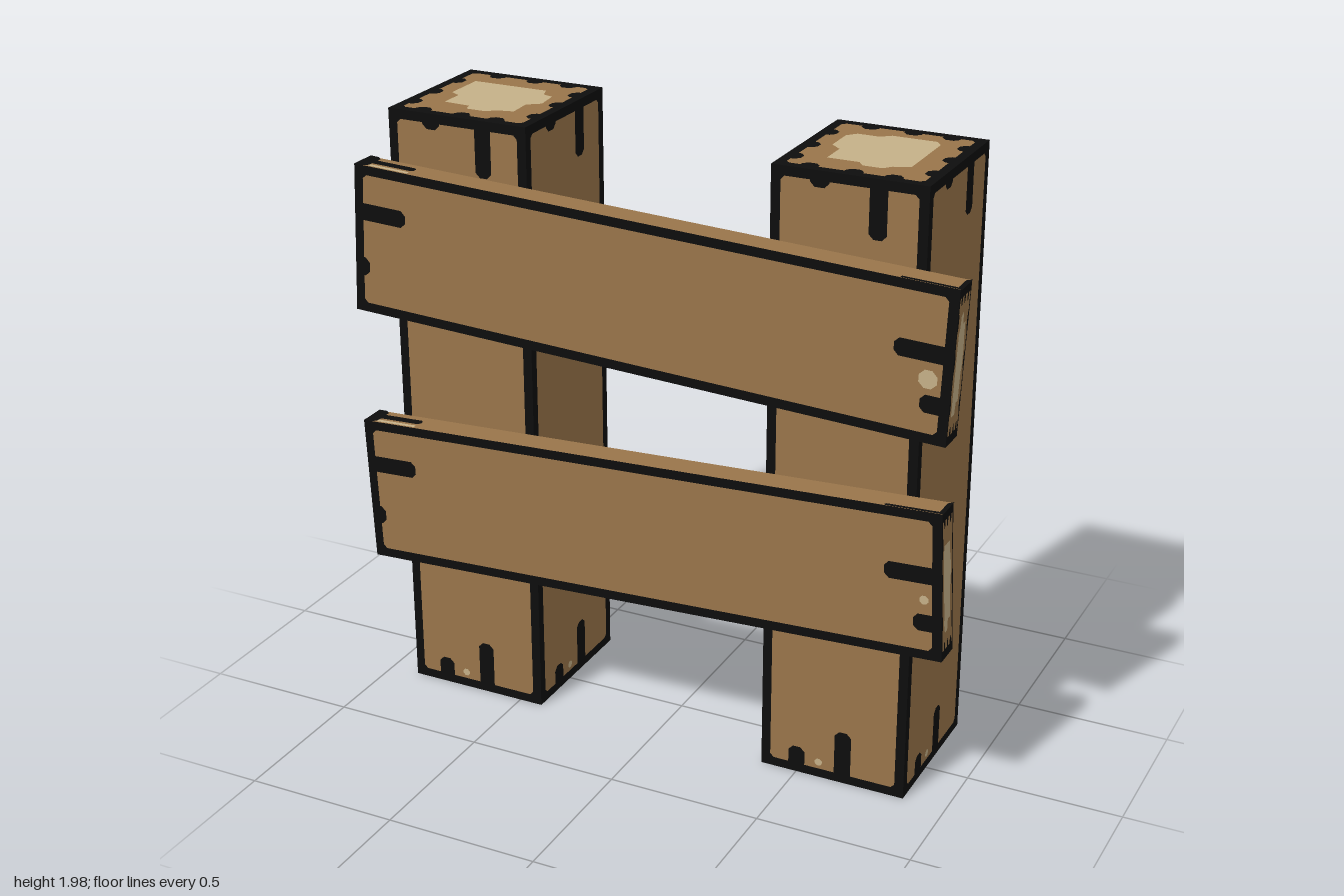
import * as THREE from 'three';

const material = (name, color) => {
  const m = new THREE.MeshStandardMaterial({ color });
  m.name = name;
  return m;
};

const EDGE = 0.03;   // width of the dark outline
const SKIN = 0.002;  // lift of painted details

const shapeOf = pts => new THREE.Shape(pts.map(p => new THREE.Vector2(p[0], p[1])));

// Octagon-cornered rectangle
function cutRect(w, h, c) {
  const x = w / 2, y = h / 2;
  return [[-x + c, -y], [x - c, -y], [x, -y + c], [x, y - c], [x - c, y], [-x + c, y], [-x, y - c], [-x, -y + c]];
}

// Outline around a face
function frame(w, h) {
  const s = shapeOf(cutRect(w, h, 0));
  s.holes.push(shapeOf(cutRect(w - EDGE * 2, h - EDGE * 2, 0.012)));
  return s;
}

// Crack running inward from an edge; turn 0 = bottom, 1 = right, 2 = top, 3 = left
function crack(w, h, turn, pos, width, depth) {
  const x = width / 2, r = Math.min(0.015, x * 0.6);
  const pts = [[-x, 0], [x, 0], [x, depth - r], [x - r, depth], [-x + r, depth], [-x, depth - r]];
  const half = (turn % 2 ? w : h) / 2, c = [1, 0, -1, 0][turn], s = [0, 1, 0, -1][turn];
  const flip = turn === 2 ? -1 : 1; // keeps pos measured along +u on the top edge
  return shapeOf(pts.map(([px, py]) => {
    const a = px + pos * flip, b = py - half;
    return [a * c - b * s, a * s + b * c];
  }));
}

// Wide side: outline with two cracks at each end
const wideSide = (w, h) => [
  frame(w, h),
  crack(w, h, 2, -0.09, 0.06, 0.05), crack(w, h, 2, 0.09, 0.055, 0.18),
  crack(w, h, 0, -0.12, 0.055, 0.09), crack(w, h, 0, 0.035, 0.055, 0.18),
];

// Narrow side of a plank: dark end and thin cracks
const narrowSide = (w, h) => [
  crack(w, h, 2, 0, w, 0.045), crack(w, h, 2, 0, 0.03, 0.19),
  crack(w, h, 0, -0.038, 0.012, 0.18), crack(w, h, 0, 0, w, 0.012),
];

// Sawn end: outline with short cracks all round
function sawnEnd(w) {
  const list = [frame(w, w)];
  for (let turn = 0; turn < 4; turn++)
    for (const p of [-0.135, 0.0, 0.12]) list.push(crack(w, w, turn, p + turn * 0.008, 0.055, 0.055));
  return list;
}

// Pale heartwood patches
const HEART_A = [[-0.155, 0.1], [-0.155, 0.13], [0.1, 0.13], [0.115, 0.09], [0.15, 0.08], [0.16, 0], [0.12, -0.03], [0.125, -0.11],
  [0.08, -0.12], [0.04, -0.145], [-0.02, -0.145], [-0.03, -0.115], [-0.12, -0.11], [-0.12, -0.03], [-0.155, -0.01]];
const HEART_B = [[-0.155, 0.1], [-0.13, 0.13], [-0.06, 0.13], [-0.03, 0.155], [0.11, 0.155], [0.13, 0.13], [0.13, -0.1], [0.08, -0.12],
  [0.06, -0.145], [0, -0.145], [-0.02, -0.12], [-0.12, -0.12], [-0.12, -0.03], [-0.155, 0]];

export function createModel() {
  const wood = material('wood', 0x99754a);
  const dark = material('dark outline', 0x0d0d0d);
  const pale = material('pale heartwood', 0xc5b088);
  const model = new THREE.Group();
  model.name = 'fence';

  // Timber standing along y, centred on its own origin
  function timber(name, w, h, d, heart, knot) {
    const g = new THREE.Group();
    g.name = name;
    const add = (part, geo, mat) => {
      const m = new THREE.Mesh(geo, mat);
      m.name = part;
      g.add(m);
    };
    add('timber', new THREE.BoxGeometry(w - 2 * SKIN, h - 2 * SKIN, d - 2 * SKIN), wood);

    // Four long sides
    for (let k = 0; k < 4; k++) {
      const fw = k % 2 ? d : w, out = (k % 2 ? w : d) / 2;
      const narrow = fw < 0.2;
      const place = (geo, lift = 0) => geo.translate(0, 0, out + lift).rotateY(k * Math.PI / 2);
      add('sideOutline', place(new THREE.ShapeGeometry(narrow ? narrowSide(fw, h) : wideSide(fw, h))), dark);
      const spot = narrow
        ? shapeOf(cutRect(0.014, 0.14, 0.002).map(([x, y]) => [x - 0.034, y + h / 2 - 0.115]))
        : shapeOf(cutRect(knot * 2, knot * 2, knot * 0.6).map(([x, y]) => [x - 0.045, y - h / 2 + 0.04 + knot * 1.1]));
      add('paleSpot', place(new THREE.ShapeGeometry(spot), 0.0005), pale);
    }

    // Two sawn ends
    for (const s of [1, -1]) {
      const place = geo => geo.scale(1, d / w, 1).translate(0, 0, h / 2).rotateX(-s * Math.PI / 2);
      add('endOutline', place(new THREE.ShapeGeometry(sawnEnd(w))), dark);
      add('heartwood', place(new THREE.ShapeGeometry(shapeOf(heart))), pale);
    }
    model.add(g);
    return g;
  }

  // Posts
  timber('rightPost', 0.48, 1.98, 0.49, HEART_A, 0.012).position.set(-0.66, 0.99, -0.045);
  timber('leftPost', 0.48, 1.98, 0.49, HEART_B, 0.012).position.set(0.62, 0.99, -0.045);

  // Crooked planks nailed across the front
  for (const [name, y, tilt, heart, knot] of [
    ['upperPlank', 1.535, -0.0445, HEART_A, 0.028],
    ['lowerPlank', 0.76, 0.0433, HEART_B, 0.014],
  ]) {
    const plank = timber(name, 0.48, 1.97, 0.092, heart, knot);
    plank.position.set(0, y, 0.246);
    plank.rotation.z = Math.PI / 2 + tilt;
  }
  return model;
}
